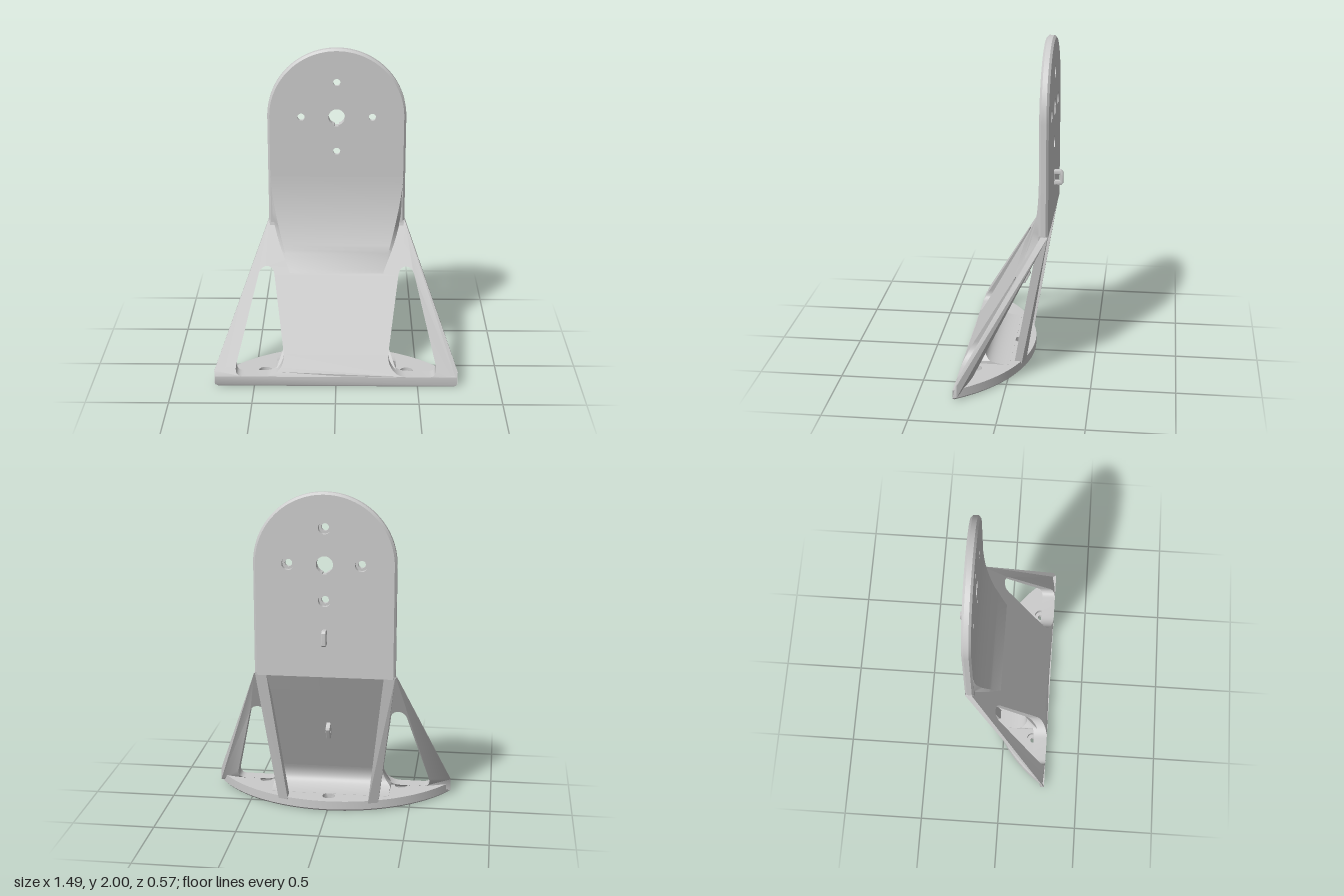
import * as THREE from 'three';
import { toCreasedNormals } from 'three/addons/utils/BufferGeometryUtils.js';

const grey = new THREE.MeshStandardMaterial({ color: 0xcccccc, side: THREE.DoubleSide });
const V2 = (x, y) => new THREE.Vector2(x, y);

function mesh(name, geometry, crease = 0.5) {
  const m = new THREE.Mesh(toCreasedNormals(geometry, crease), grey);
  m.name = name;
  return m;
}

// Skin between equal-length loops of [x, y, z]
function loft(loops, closed = true) {
  const pos = [], n = loops[0].length;
  for (let i = 0; i + 1 < loops.length; i++) {
    for (let j = 0; j < (closed ? n : n - 1); j++) {
      const k = (j + 1) % n, [a, b, c, d] = [loops[i][j], loops[i][k], loops[i + 1][k], loops[i + 1][j]];
      pos.push(...a, ...b, ...c, ...a, ...c, ...d);
    }
  }
  const g = new THREE.BufferGeometry();
  g.setAttribute('position', new THREE.Float32BufferAttribute(pos, 3));
  g.computeVertexNormals();
  return g;
}

// Flat plate with chamfered rim, stepped round holes and optional shaped cut-outs.
// levels: [inset, z] from first cap to last; hole: { x, y, r: [first, last], step }
function slab(name, outline, levels, holes, cutouts = []) {
  const group = new THREE.Group();
  group.name = name;
  const at = (pts, z) => pts.map(p => [p.x, p.y, z]);
  const zs = [levels[0][1], levels[levels.length - 1][1]];
  group.add(mesh(name + 'Rim', loft(levels.map(([inset, z]) => at(outline(inset), z)))));
  zs.forEach((z, i) => {
    const shape = new THREE.Shape(outline(levels[i ? levels.length - 1 : 0][0]));
    holes.forEach(h => shape.holes.push(new THREE.Path().absarc(h.x, h.y, h.r[i], 0, Math.PI * 2, true)));
    cutouts.forEach(c => shape.holes.push(new THREE.Path(c)));
    group.add(mesh(name + 'Face', new THREE.ShapeGeometry(shape, 16).translate(0, 0, z)));
  });
  holes.forEach(h => {
    const profile = [V2(h.r[0], zs[0]), V2(h.r[0], h.step), V2(h.r[1], h.step), V2(h.r[1], zs[1])];
    group.add(mesh(name + 'Hole', new THREE.LatheGeometry(profile, 32).rotateX(Math.PI / 2).translate(h.x, h.y, 0)));
  });
  cutouts.forEach(c => group.add(mesh(name + 'Bore', loft(zs.map(z => at(c, z))))));
  return group;
}

// Sloping panel: front and back depth at a height
const panelFront = y => 0.285 - (Math.max(y, 0.065) - 0.065) * 0.562;
const panelBack = y => 0.2 - (Math.max(y, 0.065) - 0.065) * 0.509;

function backPlate() {
  const outline = inset => {
    const r = 0.42 - inset, pts = [V2(-r, 0.9), V2(r, 0.9)];
    for (let i = 0; i <= 48; i++) {
      const a = Math.PI * i / 48;
      pts.push(V2(r * Math.cos(a), 1.58 + r * Math.sin(a)));
    }
    return pts;
  };
  const d = 0.215;
  const holes = [[d, 0], [-d, 0], [0, d], [0, -d]].map(([x, y]) =>
    ({ x, y: 1.58 + y, r: [0.037, 0.022], step: -0.2 }));
  // Central bore with a small keyway at its foot
  const bore = [];
  for (let i = 0; i <= 36; i++) {
    const a = -Math.PI / 2 + 0.25 + (Math.PI * 2 - 0.5) * i / 36;
    bore.push(V2(0.05 * Math.cos(a), 1.58 + 0.05 * Math.sin(a)));
  }
  bore.push(V2(-0.012, 1.522), V2(0.012, 1.522));
  return slab('backPlate', outline, [[0.013, -0.232], [0, -0.219], [0, -0.19], [0.013, -0.177]], holes, [bore]);
}

function basePlate() {
  const outline = inset => {
    const r = 0.873 - inset, front = 0.285 - inset * 0.5;
    const end = Math.acos((0.748 - front) / r), pts = [];
    for (let i = 0; i <= 48; i++) {
      const a = end * (i / 24 - 1);
      pts.push(V2(r * Math.sin(a), r * Math.cos(a) - 0.748));
    }
    return pts;
  };
  const holes = [[0.435, -0.195], [-0.435, -0.195], [0, 0.035]].map(([x, y]) =>
    ({ x, y, r: [0.017, 0.04], step: 0.03 }));
  const base = slab('basePlate', outline, [[0.012, 0], [0, 0.012], [0, 0.065]], holes);
  base.rotation.x = -Math.PI / 2;
  return base;
}

function slopingPanel() {
  const shape = new THREE.Shape([
    V2(-0.745, 0.02), V2(0.745, 0.02), V2(0.745, 0.095), V2(0.424, 0.91), V2(-0.424, 0.91), V2(-0.745, 0.095),
  ]);
  // Rounded triangular windows, mirrored
  for (const s of [1, -1]) {
    const w = new THREE.Path();
    w.moveTo(s * 0.32, 0.185);
    w.lineTo(s * 0.383, 0.61);
    w.bezierCurveTo(s * 0.39, 0.675, s * 0.468, 0.675, s * 0.483, 0.61);
    w.lineTo(s * 0.612, 0.125);
    w.quadraticCurveTo(s * 0.622, 0.066, s * 0.57, 0.066);
    w.lineTo(s * 0.43, 0.066);
    w.bezierCurveTo(s * 0.364, 0.066, s * 0.316, 0.119, s * 0.32, 0.185);
    shape.holes.push(w);
  }
  const g = new THREE.ExtrudeGeometry(shape, { depth: 1, bevelEnabled: false, curveSegments: 12 });
  const p = g.attributes.position;
  for (let i = 0; i < p.count; i++) {
    const y = p.getY(i), corner = Math.abs(p.getX(i)) > 0.74;
    p.setZ(i, p.getZ(i) > 0.5 ? panelFront(y) : corner ? 0.262 : panelBack(y));
  }
  g.computeVertexNormals();
  return mesh('slopingPanel', g);
}

// Concave blend from the upright plate into the sloping panel
function frontBlend() {
  const curve = new THREE.QuadraticBezierCurve(V2(1.2, -0.177), V2(0.88, -0.174), V2(0.62, panelFront(0.62)));
  const rows = curve.getPoints(24).map(({ x: y, y: z }) => {
    const w = 0.408 - 0.07 * Math.pow((1.2 - y) / 0.4, 1.5), foot = Math.min(w + 0.035, 0.41);
    const zb = Math.max(-0.19, panelFront(y) - 0.01);
    return [[-foot, y, zb], [-w, y, z + 0.001], [w, y, z + 0.001], [foot, y, zb]];
  });
  return mesh('frontBlend', loft(rows, false));
}

// Concave fillet between the panel's back and the base
function baseFillet() {
  const s = new THREE.Shape();
  s.moveTo(-0.13, 0.2);
  s.quadraticCurveTo(-0.2, 0.065, 0, 0.066);
  s.lineTo(0, 0.05);
  s.lineTo(-0.22, 0.05);
  s.lineTo(-0.22, 0.08);
  const g = new THREE.ExtrudeGeometry(s, { depth: 2, bevelEnabled: false, curveSegments: 16 })
    .translate(0, 0, -1).rotateY(Math.PI / 2);
  const p = g.attributes.position;
  for (let i = 0; i < p.count; i++) {
    const dy = Math.min(0.12, Math.max(0, 0.185 - p.getY(i)));
    p.setX(i, Math.sign(p.getX(i)) * Math.min(0.37, 0.44 - Math.sqrt(0.0144 - dy * dy)));
  }
  // Local x became -z
  g.computeVertexNormals();
  return mesh('baseFillet', g);
}

// Slanted strut from the plate's lower corner to the base's rear edge
function rearStrut(s) {
  const bottom = [[0.25, -0.092], [0.312, -0.07], [0.312, -0.025], [0.25, -0.025]].map(([x, z]) => [s * x, 0.05, z]);
  const top = [[0.352, -0.231], [0.419, -0.231], [0.419, -0.18], [0.352, -0.18]].map(([x, z]) => [s * x, 0.915, z]);
  return mesh('rearStrut', loft([bottom, top]), 0.3);
}

// Small square eyelet for tying cables
function cableEyelet(y, z, tilt) {
  const s = new THREE.Shape([
    V2(-0.01, -0.047), V2(0.044, -0.047), V2(0.055, -0.036), V2(0.055, 0.036), V2(0.044, 0.047), V2(-0.01, 0.047),
  ]);
  s.holes.push(new THREE.Path([V2(0.006, -0.02), V2(0.006, 0.02), V2(0.036, 0.02), V2(0.036, -0.02)]));
  const g = new THREE.ExtrudeGeometry(s, {
    depth: 0.016, bevelThickness: 0.006, bevelSize: 0.006, bevelOffset: -0.006, bevelSegments: 2,
  }).translate(0, 0, -0.008);
  const m = mesh('cableEyelet', g, 0.6);
  m.position.set(0, y, z);
  m.rotation.set(tilt, Math.PI / 2, 0);
  return m;
}

export function createModel() {
  const model = new THREE.Group();
  model.name = 'mountingBracket';
  model.add(backPlate(), basePlate(), slopingPanel(), frontBlend(), baseFillet());
  for (const s of [1, -1]) model.add(rearStrut(s));
  model.add(cableEyelet(1.145, -0.231, 0), cableEyelet(0.51, panelBack(0.51), -0.47));
  return model;
}
